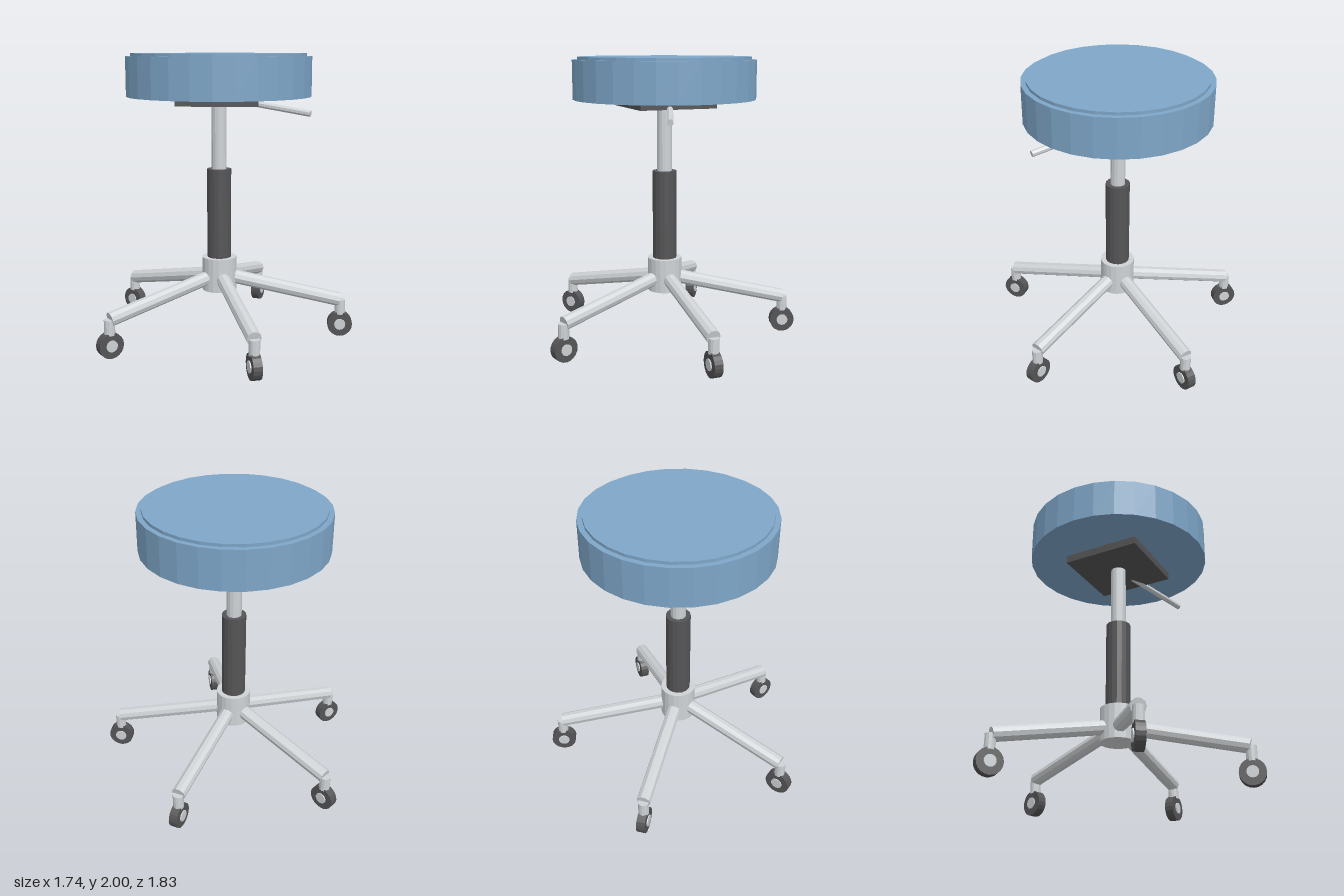
import * as THREE from 'three';

export function createModel() {
  const mat = (name, color) => {
    const m = new THREE.MeshStandardMaterial({ color, flatShading: true });
    m.name = name;
    return m;
  };
  const blue = mat('seat blue', 0x7ea6c8);
  const metal = mat('light metal', 0xcfd3d6);
  const dark = mat('dark plastic', 0x555557);

  const model = new THREE.Group();
  model.name = 'stool';
  const stool = new THREE.Group();
  stool.name = 'stoolAssembly';
  stool.position.x = -0.085; // column axis sits slightly off the overall centre
  model.add(stool);

  const add = (parent, name, geometry, material) => {
    const mesh = new THREE.Mesh(geometry, material);
    mesh.name = name;
    parent.add(mesh);
    return mesh;
  };
  // Upright cylinder between two heights
  const upright = (parent, name, r, y0, y1, sides, material) => {
    const m = add(parent, name, new THREE.CylinderGeometry(r, r, y1 - y0, sides), material);
    m.position.y = (y0 + y1) / 2;
    return m;
  };
  // Straight rod between two points
  const rod = (parent, name, a, b, r, sides, material) => {
    const dir = b.clone().sub(a);
    const m = add(parent, name, new THREE.CylinderGeometry(r, r, dir.length(), sides), material);
    m.position.copy(a).add(b).multiplyScalar(0.5);
    m.quaternion.setFromUnitVectors(new THREE.Vector3(0, 1, 0), dir.normalize());
    return m;
  };
  const v = (x, y, z) => new THREE.Vector3(x, y, z);

  // Seat
  upright(stool, 'seatCushion', 0.635, 1.71, 1.98, 28, blue);
  upright(stool, 'seatTop', 0.6, 1.97, 2.0, 28, blue);
  add(stool, 'seatPlate', new THREE.BoxGeometry(0.55, 0.055, 0.55), dark).position.y = 1.6825;
  rod(stool, 'heightLever', v(0.1, 1.685, 0), v(0.62, 1.606, 0.2), 0.022, 8, metal);

  // Column
  upright(stool, 'gasLift', 0.053, 1.2, 1.66, 14, metal);
  upright(stool, 'columnSleeve', 0.085, 0.57, 1.205, 16, dark);
  upright(stool, 'baseHub', 0.122, 0.335, 0.575, 20, metal);

  // Five legs with casters
  for (let i = 0; i < 5; i++) {
    const leg = new THREE.Group();
    leg.name = `leg${i + 1}`;
    leg.rotation.y = (i * Math.PI * 2) / 5;
    stool.add(leg);
    rod(leg, 'arm', v(0.06, 0.437, 0), v(0.86, 0.265, 0), 0.049, 10, metal);

    const caster = new THREE.Group();
    caster.name = 'caster';
    caster.position.x = 0.865;
    leg.add(caster);
    upright(caster, 'casterStem', 0.037, 0.16, 0.265, 12, metal);
    const z = 0.03;
    rod(caster, 'wheel', v(0, 0.088, -z), v(0, 0.088, z), 0.088, 20, dark);
    rod(caster, 'wheelHub', v(0, 0.088, -0.038), v(0, 0.088, 0.038), 0.04, 14, metal);
  }
  return model;
}
